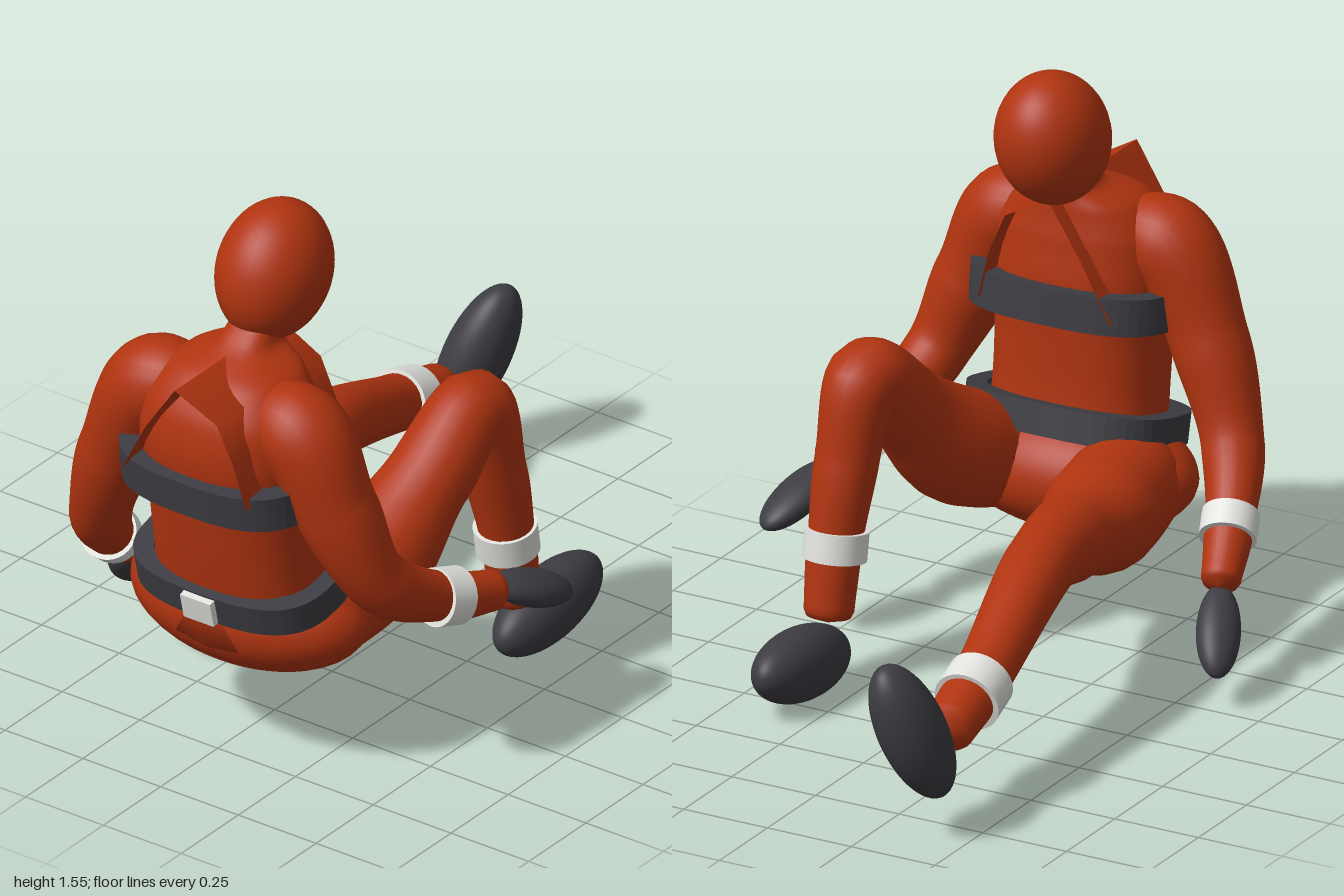
import * as THREE from 'three';
import { mergeVertices } from 'three/addons/utils/BufferGeometryUtils.js';

const V = (a) => new THREE.Vector3(...a);
const UP = new THREE.Vector3(0, 1, 0);
const CX = 0.045; // middle of the body

function makeMaterial(name, color, side = THREE.FrontSide) {
  const m = new THREE.MeshStandardMaterial({ color, side });
  m.name = name;
  return m;
}

// Removes seams so the normals come out smooth
function smooth(geo) {
  geo.deleteAttribute('uv');
  geo.deleteAttribute('normal');
  const g = mergeVertices(geo, 1e-5);
  g.computeVertexNormals();
  return g;
}

// Round limb through points [x, y, z, radius], with rounded ends
function limbGeometry(points) {
  const rows = 80, sides = 24;
  const curve = new THREE.CatmullRomCurve3(points.map((p) => new THREE.Vector3(p[0], p[1], p[2])), false, 'centripetal');
  const geo = new THREE.TubeGeometry(curve, rows, 1, sides);
  const pos = geo.attributes.position, v = new THREE.Vector3();
  const length = curve.getLength(), last = points.length - 1;
  for (let i = 0; i <= rows; i++) {
    const u = i / rows, c = curve.getPointAt(u);
    const t = curve.getUtoTmapping(u) * last;
    const k = Math.min(Math.floor(t), last - 1);
    let r = THREE.MathUtils.lerp(points[k][3], points[k + 1][3], THREE.MathUtils.smoothstep(t - k, 0, 1));
    const end = 0.5 * r / length;
    const e = Math.max(0, 1 - Math.min(u, 1 - u) / end);
    r *= Math.max(0.001, Math.sqrt(1 - e * e));
    for (let j = 0; j <= sides; j++) {
      const n = i * (sides + 1) + j;
      v.fromBufferAttribute(pos, n).sub(c).multiplyScalar(r).add(c);
      pos.setXYZ(n, v.x, v.y, v.z);
    }
  }
  return smooth(geo);
}

const softPower = (s, p) => Math.sign(s) * Math.abs(s) ** p;

// Trunk lofted through sections [y, z, half width, half depth], top first
function trunkGeometry(sections) {
  const rows = 40, sides = 40;
  const centre = new THREE.CatmullRomCurve3(sections.map((s) => new THREE.Vector3(0, s[0], s[1])));
  const size = new THREE.CatmullRomCurve3(sections.map((s) => new THREE.Vector3(s[2], 0, s[3])));
  const geo = new THREE.CylinderGeometry(1, 1, 1, sides, rows, true);
  const pos = geo.attributes.position;
  for (let i = 0; i <= rows; i++) {
    const c = centre.getPoint(i / rows), s = size.getPoint(i / rows);
    for (let j = 0; j <= sides; j++) {
      const n = i * (sides + 1) + j;
      pos.setXYZ(n, CX + s.x * softPower(pos.getX(n), 0.8), c.y, c.z + s.z * softPower(pos.getZ(n), 0.8));
    }
  }
  return smooth(geo);
}

// Soft-cornered ring for a belt
function beltGeometry(rx, rz, thick, height) {
  const outline = (a, b) => Array.from({ length: 48 }, (_, i) => {
    const t = (i / 48) * Math.PI * 2;
    return new THREE.Vector2(a * softPower(Math.cos(t), 0.7), b * softPower(Math.sin(t), 0.7));
  });
  const shape = new THREE.Shape(outline(rx, rz));
  shape.holes.push(new THREE.Path(outline(rx - thick, rz - thick)));
  const geo = new THREE.ExtrudeGeometry(shape, { depth: height, bevelEnabled: false });
  return geo.translate(0, 0, -height / 2).rotateX(-Math.PI / 2);
}

// Open sheet between two lines of points
function sheetGeometry(a, b) {
  const verts = [], index = [];
  a.forEach((p, i) => {
    verts.push(...p, ...b[i]);
    const n = i * 2;
    if (i) index.push(n - 2, n - 1, n, n - 1, n + 1, n);
  });
  const geo = new THREE.BufferGeometry();
  geo.setAttribute('position', new THREE.Float32BufferAttribute(verts, 3));
  geo.setIndex(index);
  geo.computeVertexNormals();
  return geo;
}

export function createModel() {
  const group = new THREE.Group();
  const suit = makeMaterial('suit orange red', 0xb03410, THREE.DoubleSide);
  const dark = makeMaterial('charcoal', 0x3c3c42);
  const white = makeMaterial('cuff white', 0xe2e2de);

  const add = (name, geo, mat) => {
    const m = new THREE.Mesh(geo, mat);
    m.name = name;
    group.add(m);
    return m;
  };
  const aim = (mesh, at, dir) => {
    mesh.position.set(...at);
    mesh.quaternion.setFromUnitVectors(UP, V(dir).normalize());
    return mesh;
  };
  const ellipsoid = (name, mat, at, radii, dir = [0, 1, 0]) =>
    aim(add(name, new THREE.SphereGeometry(1, 40, 28).scale(...radii), mat), at, dir);
  const cuff = (name, at, dir, r, h) =>
    aim(add(name, new THREE.CylinderGeometry(r, r, h, 32), white), at, dir);

  // Head, trunk and hips
  ellipsoid('head', suit, [CX, 1.365, 0.563], [0.148, 0.19, 0.165], [0, 0.87, -0.45]);
  add('torso', trunkGeometry([
    [1.28, 0.61, 0.06, 0.06],
    [1.21, 0.67, 0.075, 0.085],
    [1.16, 0.72, 0.17, 0.14],
    [1.07, 0.745, 0.23, 0.18],
    [0.95, 0.745, 0.245, 0.195],
    [0.8, 0.73, 0.235, 0.18],
    [0.62, 0.71, 0.235, 0.17],
    [0.42, 0.67, 0.25, 0.17],
  ]), suit);
  ellipsoid('hips', suit, [0.03, 0.425, 0.645], [0.355, 0.172, 0.215]);

  // Arms
  add('rightArm', limbGeometry([
    [-0.06, 1.06, 0.75, 0.1], [-0.19, 1.04, 0.76, 0.125], [-0.32, 0.8, 0.745, 0.105],
    [-0.42, 0.55, 0.69, 0.083], [-0.49, 0.39, 0.55, 0.065], [-0.54, 0.275, 0.41, 0.052],
  ]), suit);
  add('leftArm', limbGeometry([
    [0.15, 1.06, 0.75, 0.1], [0.28, 1.04, 0.76, 0.125], [0.38, 0.84, 0.745, 0.11],
    [0.465, 0.63, 0.68, 0.085], [0.52, 0.5, 0.46, 0.066], [0.56, 0.45, 0.275, 0.054],
  ]), suit);
  cuff('rightWristCuff', [-0.49, 0.39, 0.55], [-0.05, -0.1, -0.13], 0.076, 0.075);
  cuff('leftWristCuff', [0.52, 0.5, 0.46], [0.04, -0.06, -0.2], 0.078, 0.08);
  ellipsoid('rightHand', dark, [-0.575, 0.185, 0.345], [0.06, 0.138, 0.05], [-0.045, -0.075, -0.09]);
  ellipsoid('leftHand', dark, [0.568, 0.4, 0.15], [0.07, 0.142, 0.045], [0.025, -0.05, -0.125]);

  // Legs: the right one stretched out, the left one bent
  add('rightLeg', limbGeometry([
    [-0.14, 0.43, 0.68, 0.15], [-0.2, 0.42, 0.4, 0.155], [-0.23, 0.44, 0.18, 0.115],
    [-0.285, 0.465, -0.08, 0.095], [-0.365, 0.325, -0.53, 0.077], [-0.385, 0.255, -0.76, 0.07],
  ]), suit);
  add('leftLeg', limbGeometry([
    [0.2, 0.42, 0.68, 0.15], [0.255, 0.5, 0.44, 0.155], [0.3, 0.68, 0.23, 0.115],
    [0.32, 0.815, 0.065, 0.1], [0.335, 0.6, -0.005, 0.085], [0.345, 0.38, -0.05, 0.073], [0.345, 0.175, -0.085, 0.066],
  ]), suit);
  cuff('rightAnkleCuff', [-0.37, 0.31, -0.57], [-0.04, -0.13, -0.42], 0.09, 0.095);
  cuff('leftAnkleCuff', [0.342, 0.385, -0.048], [0, -0.58, -0.1], 0.085, 0.08);
  ellipsoid('rightFoot', dark, [-0.365, 0.31, -0.882], [0.085, 0.208, 0.1], [0.055, 0.19, -0.065]);
  ellipsoid('leftFoot', dark, [0.348, 0.108, -0.22], [0.088, 0.213, 0.1], [0, 0.03, -0.2]);

  // Belts tilt up towards the chest side
  const chestBelt = add('chestBelt', beltGeometry(0.295, 0.23, 0.05, 0.1), dark);
  chestBelt.position.set(CX, 0.885, 0.735);
  chestBelt.rotation.x = 0.11;
  const waistBelt = add('waistBelt', beltGeometry(0.295, 0.2, 0.05, 0.085), dark);
  waistBelt.position.set(CX, 0.55, 0.69);
  waistBelt.rotation.x = 0.23;
  const buckle = add('buckle', new THREE.BoxGeometry(0.097, 0.075, 0.03), white);
  buckle.position.set(CX, 0.503, 0.888);
  buckle.rotation.x = 0.23;

  // Shoulder straps: sheets from a shared ridge down to the chest belt
  const strap = (name, path) => add(name, sheetGeometry(
    path.map(([x, y, back]) => [x, y, back]),
    path.map(([x, y, , front]) => [x, y, front]),
  ), suit);
  strap('rightShoulderStrap', [[CX, 1.2, 1, 0.535], [-0.06, 1.05, 0.985, 0.525], [-0.15, 0.89, 0.965, 0.52]]);
  strap('leftShoulderStrap', [[CX, 1.2, 1, 0.535], [0.17, 1.13, 0.985, 0.53], [0.215, 1.02, 0.975, 0.525], [0.245, 0.89, 0.96, 0.52]]);

  // Crotch straps meeting under the hips
  for (const [s, side] of [[-1, 'right'], [1, 'left']]) {
    add(side + 'CrotchStrap', sheetGeometry(
      [[CX, 0.46, 0.885], [CX, 0.38, 0.868], [CX, 0.255, 0.7]],
      [[CX + s * 0.06, 0.46, 0.872], [CX + s * 0.1, 0.39, 0.86], [CX + s * 0.012, 0.255, 0.7]],
    ), suit);
  }
  return group;
}
